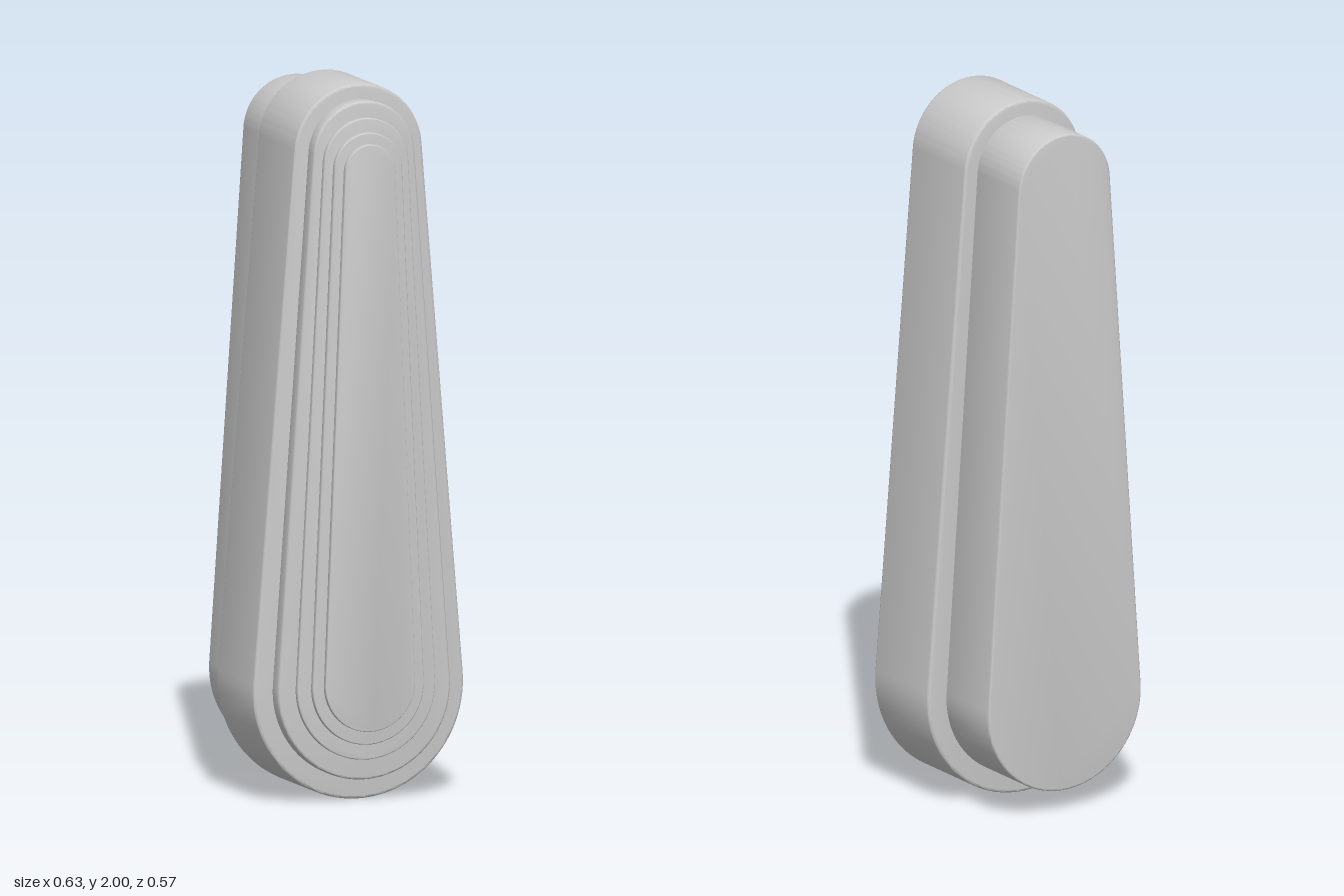
import * as THREE from 'three';
import { toCreasedNormals } from 'three/addons/utils/BufferGeometryUtils.js';

// Tapered capsule outline: big arc at the bottom, small arc at the top, tangent sides
function capsuleShape(R, r, yLow, yHigh) {
  const tilt = Math.asin((R - r) / (yHigh - yLow));
  const shape = new THREE.Shape();
  shape.absarc(0, yHigh, r, tilt, Math.PI - tilt, false);
  shape.absarc(0, yLow, R, Math.PI - tilt, 2 * Math.PI + tilt, false);
  shape.closePath();
  return shape;
}

export function createModel() {
  const group = new THREE.Group();
  const material = new THREE.MeshStandardMaterial({ color: 0xcccccc });

  // Slab from z0 to z1, spanning bottom to top, with a fine rounded edge
  function addSlab(name, R, r, bottom, top, z0, z1, edge) {
    const shape = capsuleShape(R - edge, r - edge, bottom + R, top - r);
    const geometry = new THREE.ExtrudeGeometry(shape, {
      depth: z1 - z0 - 2 * edge,
      curveSegments: 32,
      bevelEnabled: true,
      bevelSize: edge,
      bevelThickness: edge,
      bevelSegments: 3,
    });
    geometry.translate(0, 0, z0 + edge);
    const mesh = new THREE.Mesh(toCreasedNormals(geometry, 0.7), material);
    mesh.name = name;
    group.add(mesh);
  }

  addSlab('backPlate', 0.252, 0.15, 0.06, 1.956, -0.287, -0.07, 0.005);
  addSlab('mainBody', 0.313, 0.19, 0, 2, -0.075, 0.197, 0.008);

  // Stepped front tiers, each smaller than the one behind it
  const tiers = [
    [0.256, 0.15, 0.06, 1.957, 0.19, 0.24, 0.006],
    [0.205, 0.125, 0.118, 1.912, 0.235, 0.255, 0.003],
    [0.165, 0.1, 0.162, 1.873, 0.25, 0.27, 0.003],
    [0.133, 0.074, 0.2, 1.842, 0.265, 0.285, 0.002],
  ];
  tiers.forEach((tier, i) => addSlab(`frontTier${i + 1}`, ...tier));

  return group;
}
